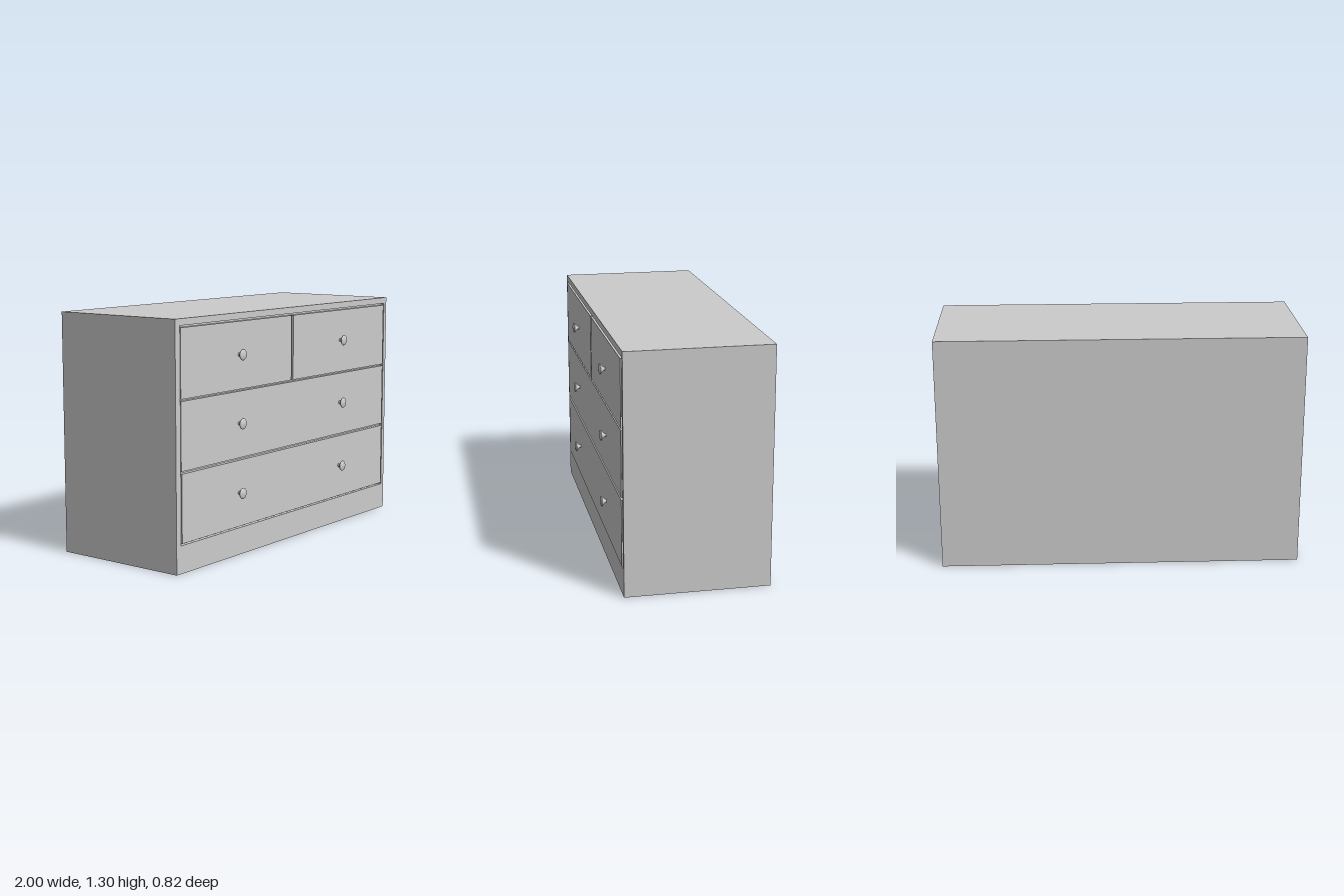
import * as THREE from 'three';

const material = new THREE.MeshStandardMaterial({ color: 0xcccccc });
const BACK = -0.41, FRONT = 0.372, HEIGHT = 1.305, GROOVE = 0.02;
const DRAWER_FRONT = 0.376;

function addMesh(parent, name, geometry, x = 0, y = 0, z = 0) {
  const mesh = new THREE.Mesh(geometry, material);
  mesh.name = name;
  mesh.position.set(x, y, z);
  parent.add(mesh);
  return mesh;
}

// Rectangle outline from its left, bottom, right and top edges
function rectangle(path, l, b, r, t) {
  path.moveTo(l, b);
  path.lineTo(r, b);
  path.lineTo(r, t);
  path.lineTo(l, t);
  path.closePath();
  return path;
}

// Round knob: thin neck flaring to a shallow domed face, axis along +z
function knobGeometry() {
  const profile = [
    [0.013, 0], [0.009, 0.003], [0.01, 0.009], [0.018, 0.018],
    [0.028, 0.025], [0.03, 0.028], [0.028, 0.031], [0.018, 0.035], [0, 0.037],
  ].map(([r, h]) => new THREE.Vector2(r, h));
  return new THREE.LatheGeometry(profile, 32).rotateX(Math.PI / 2);
}

export function createModel() {
  const model = new THREE.Group();
  model.name = 'chestOfDrawers';

  // Carcass: solid body with one shallow opening in its front
  const bodyDepth = FRONT - GROOVE - BACK;
  addMesh(model, 'body', new THREE.BoxGeometry(2, HEIGHT, bodyDepth),
    0, HEIGHT / 2, BACK + bodyDepth / 2);
  const frame = rectangle(new THREE.Shape(), -1, 0, 1, HEIGHT);
  frame.holes.push(rectangle(new THREE.Path(), -0.964, 0.148, 0.973, 1.27));
  addMesh(model, 'frontFrame',
    new THREE.ExtrudeGeometry(frame, { depth: GROOVE, bevelEnabled: false }),
    0, 0, FRONT - GROOVE);

  // Drawer fronts: left, bottom, right, top, then knob positions
  const drawers = [
    ['topLeftDrawer', -0.964, 0.9, -0.008, 1.26, [-0.484], 1.085],
    ['topRightDrawer', 0.01, 0.9, 0.96, 1.26, [0.484], 1.085],
    ['middleDrawer', -0.964, 0.532, 0.96, 0.89, [-0.484, 0.484], 0.718],
    ['bottomDrawer', -0.96, 0.158, 0.96, 0.519, [-0.484, 0.484], 0.342],
  ];
  const knob = knobGeometry();
  const depth = DRAWER_FRONT - FRONT + GROOVE;
  for (const [name, l, b, r, t, knobXs, knobY] of drawers) {
    const drawer = new THREE.Group();
    drawer.name = name;
    addMesh(drawer, 'drawerFront', new THREE.BoxGeometry(r - l, t - b, depth),
      (l + r) / 2, (b + t) / 2, DRAWER_FRONT - depth / 2);
    for (const x of knobXs) addMesh(drawer, 'knob', knob, x, knobY, DRAWER_FRONT - 0.002);
    model.add(drawer);
  }
  return model;
}
